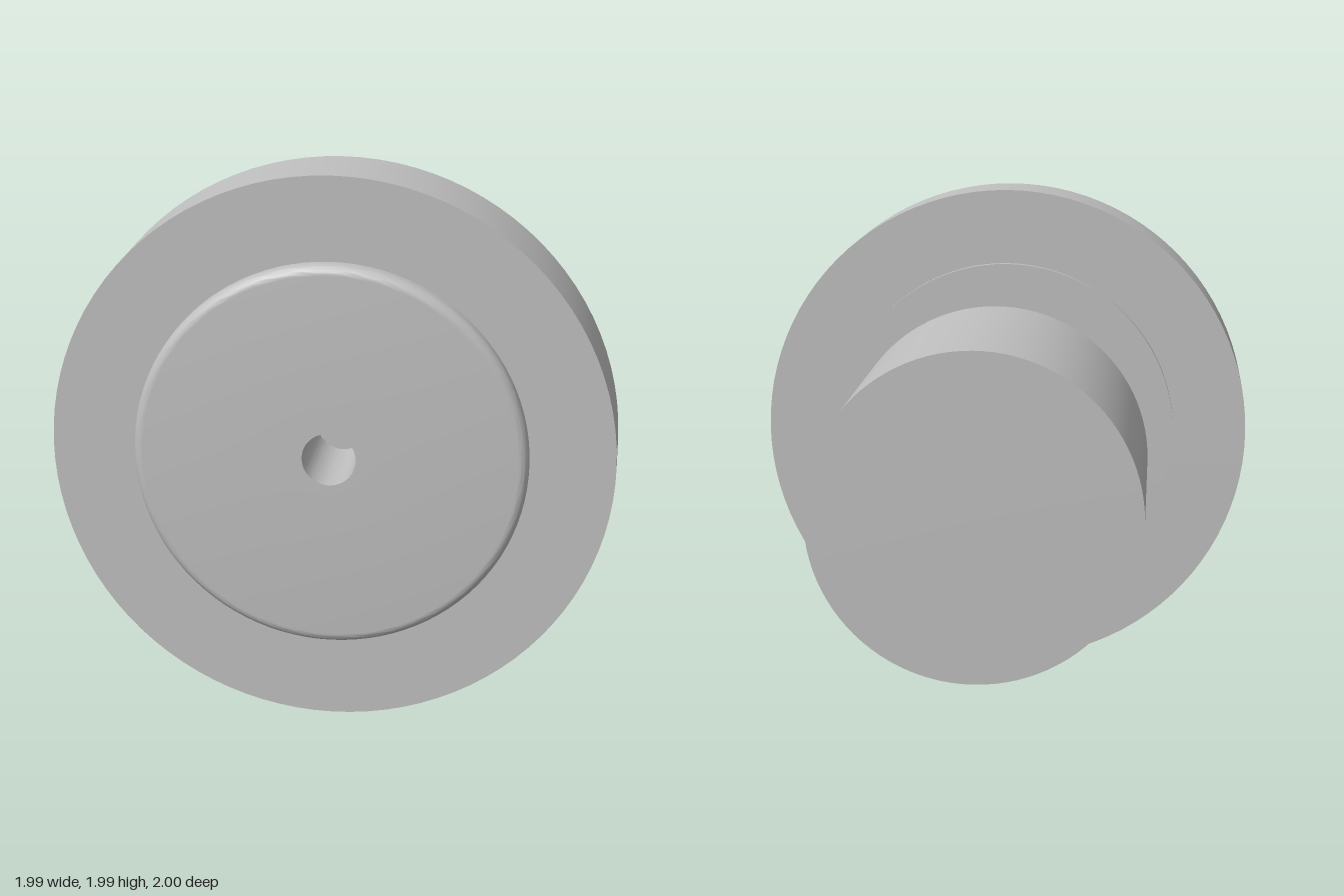
import * as THREE from 'three';
import { toCreasedNormals } from 'three/addons/utils/BufferGeometryUtils.js';

const AXIS_HEIGHT = 0.995;

export function createModel() {
  const model = new THREE.Group();
  model.name = 'wheelAndMotor';
  const grey = new THREE.MeshStandardMaterial({ color: 0xbfbfbf });
  grey.name = 'grey';

  // Revolves [radius, z] points, listed from back to front, about the axle
  function turned(name, points) {
    const profile = points.map(([r, z]) => new THREE.Vector2(r, z));
    const lathe = new THREE.LatheGeometry(profile, 96);
    lathe.rotateX(Math.PI / 2);
    const mesh = new THREE.Mesh(toCreasedNormals(lathe, Math.PI / 6), grey);
    mesh.name = name;
    mesh.position.y = AXIS_HEIGHT;
    model.add(mesh);
  }
  const disc = (name, r, back, front) =>
    turned(name, [[0, back], [r, back], [r, front], [0, front]]);

  // Motor, its front boss and the drive shaft
  disc('motorBody', 0.595, -1, 0.07);
  disc('motorBoss', 0.31, 0.06, 0.235);
  disc('driveShaft', 0.095, 0.22, 0.4);

  // Hub: rear collar, rim with a rounded front edge, and a bore in the front
  const R = 0.695, fillet = 0.035;
  const edge = [];
  for (let i = 0; i <= 8; i++) {
    const a = (i / 8) * Math.PI / 2;
    edge.push([R - fillet + fillet * Math.cos(a), 1 - fillet + fillet * Math.sin(a)]);
  }
  turned('hub', [
    [0, 0.285], [0.45, 0.285], [0.45, 0.595], [R, 0.595],
    ...edge,
    [0.095, 1], [0.095, 0.62], [0, 0.62],
  ]);

  // Tyre ring around the hub
  turned('tyre', [
    [R - 0.01, 0.625], [0.995, 0.625], [0.995, 0.94], [R - 0.01, 0.94],
  ]);

  return model;
}
